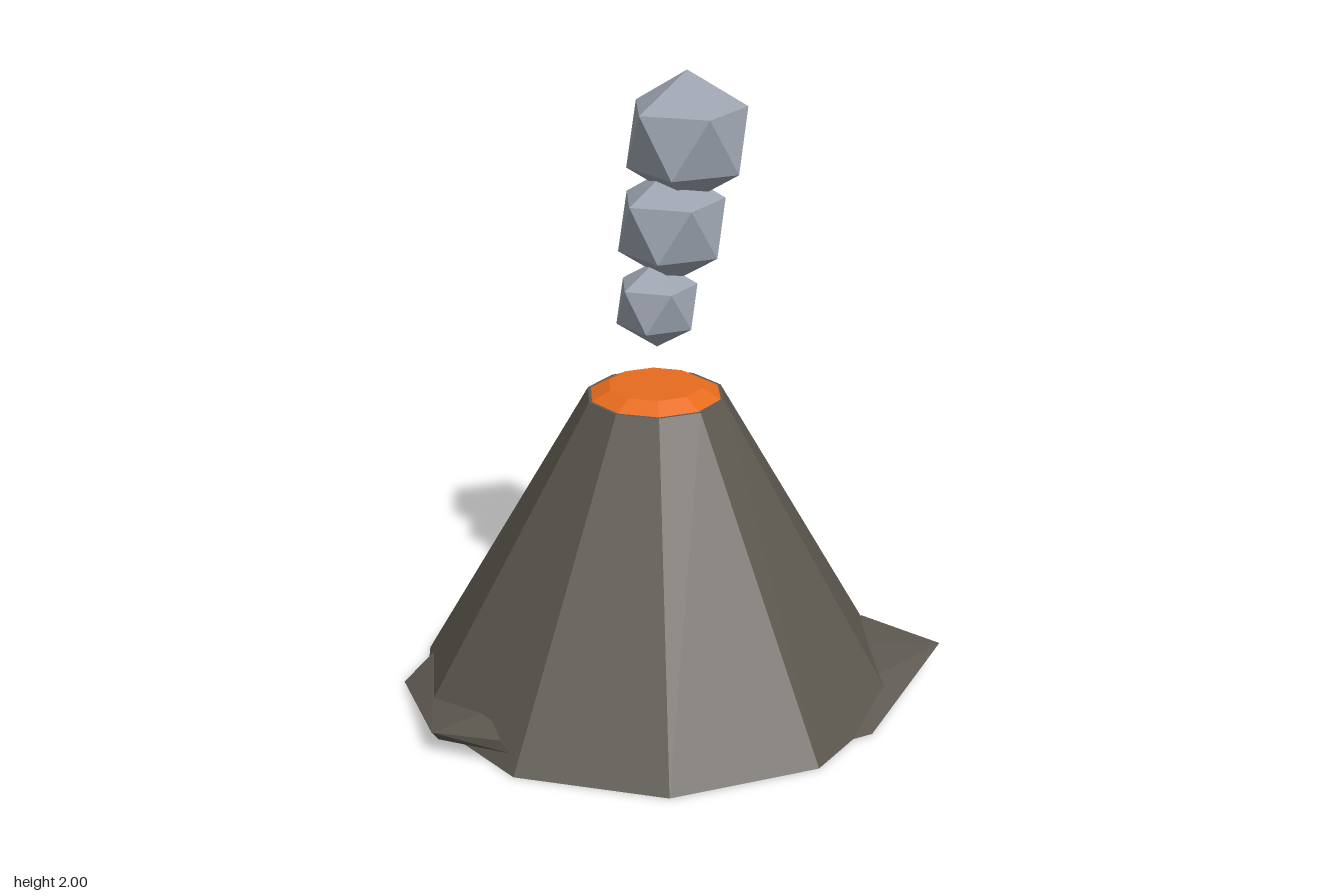
import * as THREE from 'three';
import { ConvexGeometry } from 'three/addons/geometries/ConvexGeometry.js';

const CX = -0.06; // cone axis
const SIDES = 10, BASE_R = 0.785, TOP_R = 0.22, HEIGHT = 0.985;

function material(name, color, side = THREE.FrontSide) {
  const m = new THREE.MeshStandardMaterial({ color, flatShading: true, side });
  m.name = name;
  return m;
}

function add(group, name, geometry, mat, x = 0, y = 0, z = 0) {
  const mesh = new THREE.Mesh(geometry, mat);
  mesh.name = name;
  mesh.position.set(x, y, z);
  group.add(mesh);
  return mesh;
}

// Point on the back-left facet of the cone, lifted slightly off it
function onFacet(x, z) {
  const a = Math.PI / SIDES, c = Math.cos(a);
  const nx = -Math.sin(a), nz = -c;
  const d = (x - CX) * nx + z * nz;
  const y = HEIGHT * (BASE_R * c - d) / ((BASE_R - TOP_R) * c);
  return [x + nx * 0.004, y + 0.002, z + nz * 0.004];
}

export function createModel() {
  const group = new THREE.Group();
  group.name = 'volcano';
  const rock = material('dark rock', 0x5d5850);
  const lava = material('orange lava', 0xf0701f, THREE.DoubleSide);
  const smoke = material('grey smoke', 0x9ca3af);

  // Mountain and the lava cap in its mouth
  add(group, 'mountain', new THREE.CylinderGeometry(TOP_R, BASE_R, HEIGHT, SIDES), rock, CX, HEIGHT / 2);
  add(group, 'lavaCap', new THREE.CylinderGeometry(0.15, 0.212, 0.032, SIDES), lava, CX, HEIGHT + 0.015);

  // Thin lava streak down the back
  const streak = new THREE.BufferGeometry();
  streak.setAttribute('position', new THREE.Float32BufferAttribute(
    [onFacet(-0.2, -0.42), onFacet(-0.265, -0.565), onFacet(-0.305, -0.555)].flat(), 3));
  streak.computeVertexNormals();
  add(group, 'lavaStreak', streak, lava);

  // Jagged slabs sticking out at the foot
  const slabs = {
    leftSlab: [
      [0.87, 0.09, 0], [0.64, 0.095, -0.21], [0.64, 0.05, -0.21], [0.59, 0.005, 0.44],
      [0.53, 0, 0.46], [0.62, 0.1, 0], [0.62, 0.075, 0.2], [0.5, 0.04, 0],
    ],
    rightSlab: [
      [-0.88, 0, 0], [-0.79, 0.03, -0.15], [-0.77, 0.08, 0.49], [-0.75, 0.045, 0.47],
      [-0.56, 0.09, 0.57], [-0.53, 0.05, 0.58], [-0.6, 0.1, 0.4], [-0.7, 0.06, 0.1], [-0.6, 0.01, 0.2],
    ],
    backSlab: [
      [-0.31, 0.05, -0.745], [-0.22, 0.03, -0.72], [-0.37, 0.02, -0.7],
      [-0.3, 0.1, -0.65], [-0.3, 0.01, -0.65],
    ],
  };
  for (const [name, points] of Object.entries(slabs)) {
    add(group, name, new ConvexGeometry(points.map((p) => new THREE.Vector3(...p))), rock);
  }

  // Rising smoke puffs, each standing on a corner
  const tilt = Math.atan(2 / (1 + Math.sqrt(5)));
  const puffs = [[0.14, -0.055, 1.28, 0], [0.184, -0.008, 1.526, -0.022], [0.207, 0.04, 1.793, -0.047]];
  puffs.forEach(([r, x, y, z], i) => {
    const puff = new THREE.IcosahedronGeometry(r, 0).rotateZ(-tilt);
    add(group, 'smokePuff' + (i + 1), puff, smoke, x, y, z);
  });

  return group;
}
